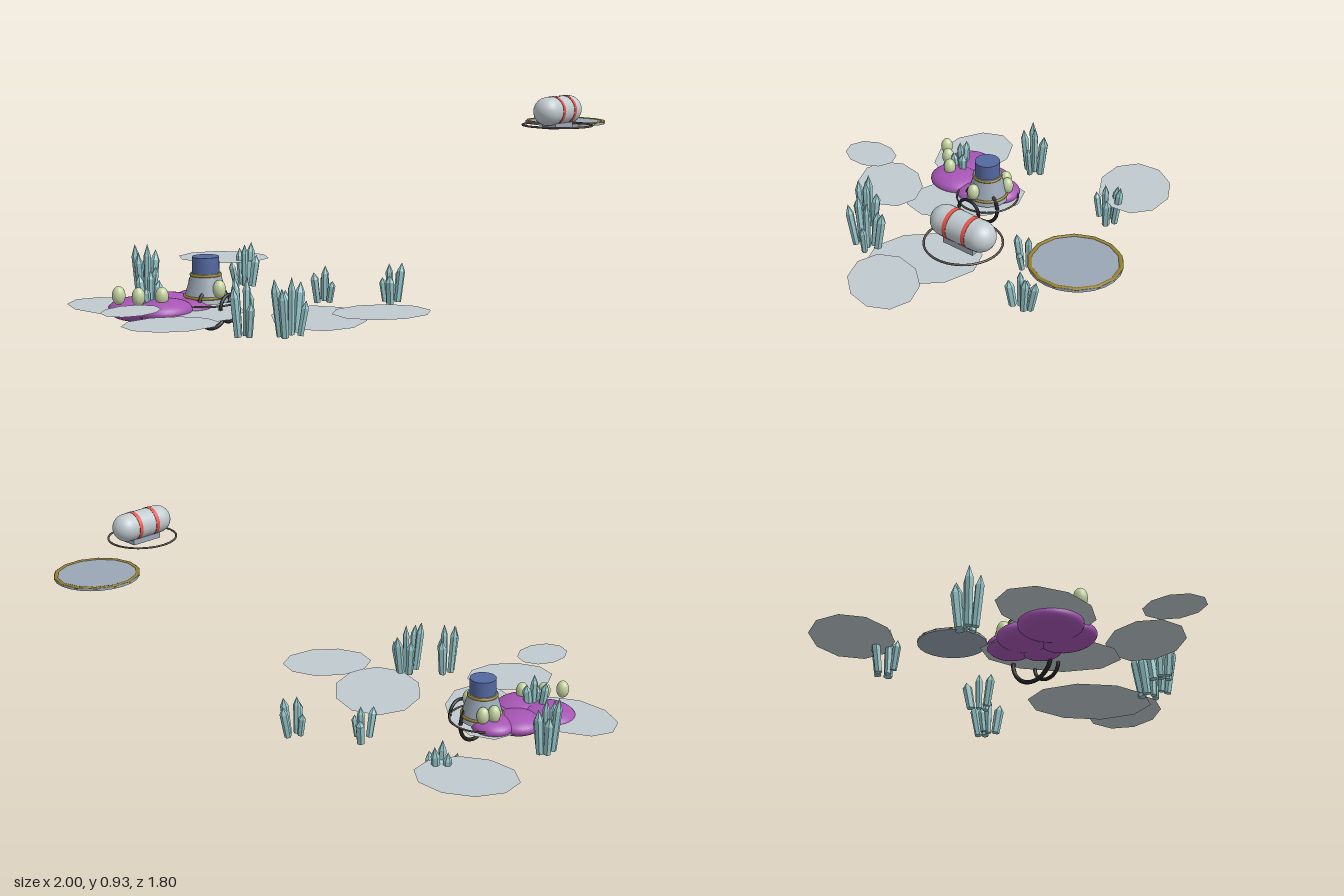
import * as THREE from 'three';

export function createModel() {
  const model = new THREE.Group();
  const mat = (name, color, extra = {}) =>
    Object.assign(new THREE.MeshStandardMaterial({ color, ...extra }), { name });
  const crystalMat = mat('pale teal', 0x96c6ca, { flatShading: true });
  const paleMat = mat('pale grey', 0xc0cacf, { side: THREE.DoubleSide });
  const purpleMat = mat('purple', 0xa655b4);
  const podMat = mat('pale green', 0xc4d2a2);
  const greyMat = mat('blue grey', 0x9ba6b6);
  const blueMat = mat('slate blue', 0x5468a0);
  const brassMat = mat('brass', 0x94802e);
  const blackMat = mat('black', 0x222226);
  const redMat = mat('red', 0xe8584e);
  const brownMat = mat('dark brown', 0x5c524c);

  function add(name, geo, material, x, y, z, parent = model) {
    const m = new THREE.Mesh(geo, material);
    m.name = name;
    m.position.set(x, y, z);
    parent.add(m);
    return m;
  }
  function flatRing(name, r, tube, material, x, y, z, segments = 48) {
    const geo = new THREE.TorusGeometry(r, tube, 8, segments).rotateX(Math.PI / 2);
    return add(name, geo, material, x, y, z);
  }
  function ellipsoid(name, material, x, y, z, rx, ry, rz) {
    add(name, new THREE.SphereGeometry(1, 28, 18).scale(rx, ry, rz), material, x, y, z);
  }

  // Floating ten-sided ground patches: centre, two radii, turn in degrees
  function groundPatch(x, y, z, a, b, turn) {
    const geo = new THREE.CircleGeometry(1, 10).scale(a, b, 1)
      .rotateX(-Math.PI / 2).rotateY(-turn * Math.PI / 180);
    add('groundPatch', geo, paleMat, x, y, z);
  }
  groundPatch(-0.6, 0.108, -0.59, 0.21, 0.15, 90);
  groundPatch(0.19, 0.183, -0.72, 0.2, 0.155, 60);
  groundPatch(-0.877, 0.18, -0.212, 0.123, 0.097, 0);
  groundPatch(-0.72, 0.11, -0.165, 0.185, 0.14, 38);
  groundPatch(-0.4, 0.1, -0.3, 0.26, 0.16, -50);
  groundPatch(-0.24, 0.098, 0.155, 0.24, 0.185, -45);
  groundPatch(-0.21, 0.151, 0.43, 0.19, 0.145, 40);

  // Purple mound of flattened spheres
  ellipsoid('mound', purpleMat, -0.553, 0.1, -0.502, 0.117, 0.046, 0.117);
  ellipsoid('mound', purpleMat, -0.41, 0.105, -0.465, 0.1, 0.042, 0.1);
  ellipsoid('mound', purpleMat, -0.527, 0.105, -0.38, 0.117, 0.045, 0.1);
  ellipsoid('mound', purpleMat, -0.31, 0.11, -0.42, 0.085, 0.04, 0.09);
  ellipsoid('mound', purpleMat, -0.4, 0.1, -0.36, 0.08, 0.035, 0.08);

  // Egg pods on the mound and around the tower
  const pod = (x, z, y = 0.172) => ellipsoid('pod', podMat, x, y, z, 0.026, 0.037, 0.026);
  pod(-0.67, -0.487);
  pod(-0.617, -0.433, 0.165);
  pod(-0.553, -0.37, 0.165);
  pod(-0.293, -0.44);
  pod(-0.26, -0.41, 0.165);
  pod(-0.334, -0.27);

  // Small tower with brass bands
  const tx = -0.323, tz = -0.352;
  add('towerBody', new THREE.CylinderGeometry(0.058, 0.09, 0.115, 32), greyMat, tx, 0.172, tz);
  add('towerCap', new THREE.CylinderGeometry(0.054, 0.054, 0.065, 32), blueMat, tx, 0.261, tz);
  flatRing('upperBand', 0.058, 0.006, brassMat, tx, 0.222, tz);
  flatRing('lowerBand', 0.084, 0.006, brassMat, tx, 0.137, tz);
  flatRing('towerRing', 0.132, 0.004, brownMat, tx, 0.115, tz);

  // Two upright hoops in front of the tower
  add('largeHoop', new THREE.TorusGeometry(0.086, 0.008, 8, 48), blackMat, tx, 0.094, -0.313);
  add('smallHoop', new THREE.TorusGeometry(0.054, 0.007, 8, 40), blackMat, tx, 0.101, -0.226);

  // Hovering tank with red bands, foot and ring
  const cx = 0.49, cy = 0.875, cz = 0.755;
  add('tank', new THREE.CapsuleGeometry(0.055, 0.15, 10, 28).rotateZ(Math.PI / 2), paleMat, cx, cy, cz);
  for (const dx of [-0.04, 0.042])
    add('tankBand', new THREE.CylinderGeometry(0.0565, 0.0565, 0.016, 28).rotateZ(Math.PI / 2),
      redMat, cx + dx, cy, cz);
  add('tankFoot', new THREE.BoxGeometry(0.13, 0.022, 0.06), greyMat, cx, 0.817, cz);
  flatRing('tankRing', 0.134, 0.004, brownMat, cx, 0.818, cz);

  // Round landing pad
  add('pad', new THREE.CylinderGeometry(0.161, 0.161, 0.01, 24), greyMat, 0.838, 0.798, 0.588);
  flatRing('padRim', 0.155, 0.008, brassMat, 0.838, 0.802, 0.588, 14).scale.y = 0.6;

  // Crystal clusters: pointed hexagonal rods that fan out from the centre
  const up = new THREE.Vector3(0, 1, 0);
  function crystalCluster(x, y, z, spreadX, spreadZ, count, height, turn) {
    const group = new THREE.Group();
    group.name = 'crystalCluster';
    group.position.set(x, y, z);
    model.add(group);
    for (let i = 0; i < count; i++) {
      const angle = turn + i * 2.4;
      const reach = i === 0 ? 0.1 : 0.85 + 0.15 * (i % 2);
      const ox = Math.cos(angle) * spreadX * reach, oz = Math.sin(angle) * spreadZ * reach;
      const dir = new THREE.Vector3(ox * 0.4, height * (1 - 0.13 * (i % 4)), oz * 0.4);
      const len = dir.length(), r = 0.015 + 0.002 * (i % 3);
      const profile = [[0, 0], [r * 0.85, 0], [r, len * 0.78], [0, len]]
        .map(p => new THREE.Vector2(...p));
      const geo = new THREE.LatheGeometry(profile, 6).rotateY(angle);
      add('crystal', geo, crystalMat, ox * 0.65, 0, oz * 0.65, group)
        .quaternion.setFromUnitVectors(up, dir.normalize());
    }
  }
  crystalCluster(-0.325, 0.085, -0.68, 0.052, 0.05, 6, 0.225, 0.6);
  crystalCluster(0.155, 0.08, -0.565, 0.07, 0.05, 5, 0.18, 2.6);
  crystalCluster(0.105, 0.08, -0.095, 0.06, 0.05, 4, 0.145, 0.8);
  crystalCluster(0.25, 0.08, 0.135, 0.07, 0.04, 5, 0.16, 3.8);
  crystalCluster(-0.605, 0.085, 0.105, 0.055, 0.045, 5, 0.22, 1);
  crystalCluster(-0.495, 0.085, 0.225, 0.08, 0.055, 6, 0.215, 0.3);
  crystalCluster(-0.545, 0.1, -0.44, 0.035, 0.05, 4, 0.16, 2);

  return model;
}
